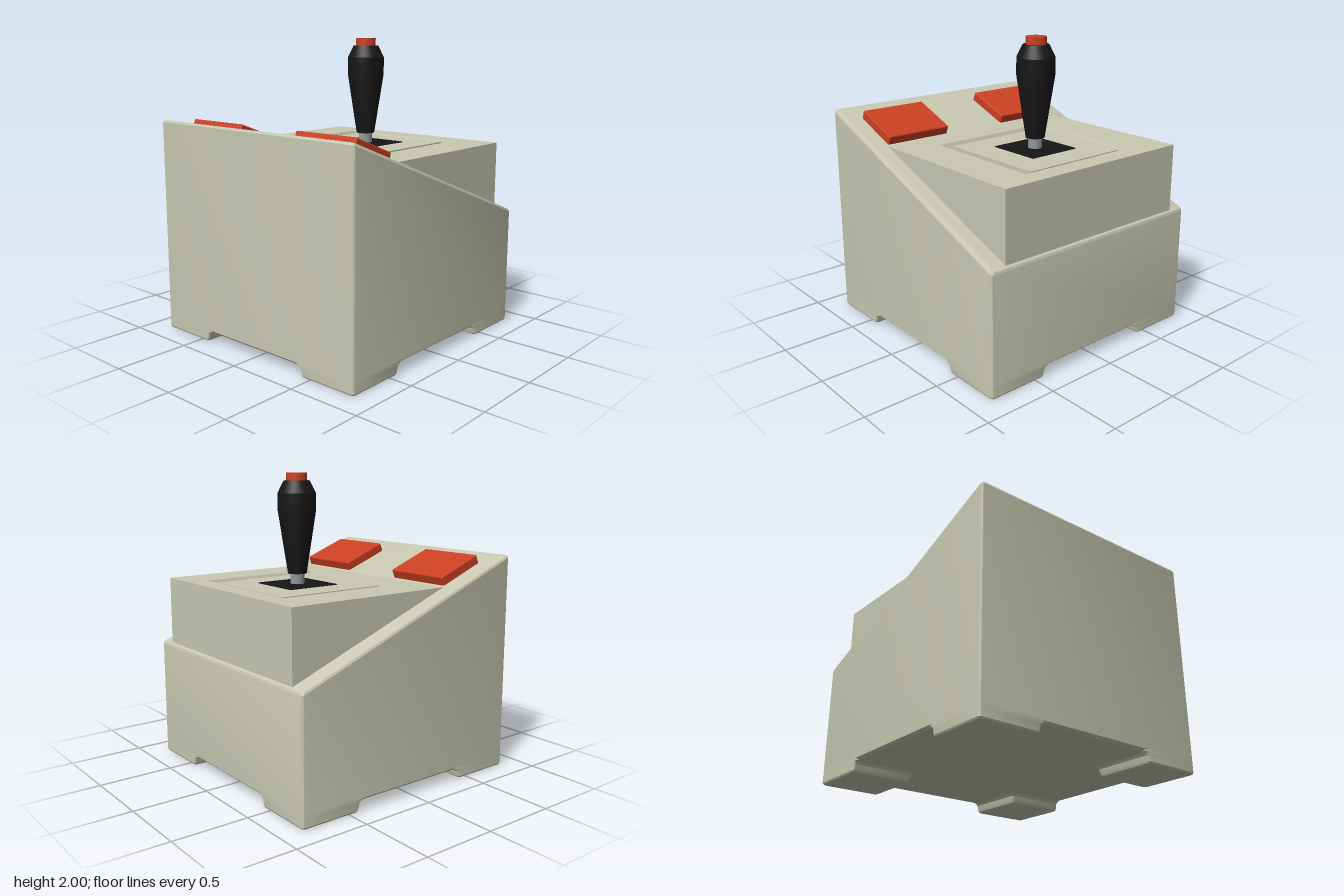
import * as THREE from 'three';
import { toCreasedNormals } from 'three/addons/utils/BufferGeometryUtils.js';
import { RoundedBoxGeometry } from 'three/addons/geometries/RoundedBoxGeometry.js';

const mat = (color) => new THREE.MeshStandardMaterial({ color });

// Height of the sloping top of the case at x
const SLOPE = 0.385;
const slopeY = (x) => 1.143 - SLOPE * x;

// Rectangle outline in the xz plane with rounded (or sharp) corners; y is a number or a function of x
function rectRing(x0, x1, z0, z1, y, r = 0) {
  const steps = r ? 3 : 0;
  const corners = [[x1 - r, z1 - r], [x0 + r, z1 - r], [x0 + r, z0 + r], [x1 - r, z0 + r]];
  const ring = [];
  corners.forEach(([cx, cz], q) => {
    for (let i = 0; i <= steps; i++) {
      const a = (q + (steps ? i / steps : 0)) * Math.PI / 2;
      const x = cx + r * Math.cos(a), z = cz + r * Math.sin(a);
      ring.push([x, typeof y === 'function' ? y(x) : y, z]);
    }
  });
  return ring;
}

// Skin a stack of rings from bottom to top and close both ends
function loft(rings) {
  const n = rings[0].length, pos = [], index = [];
  rings.forEach((ring) => ring.forEach((p) => pos.push(...p)));
  for (let k = 0; k < rings.length - 1; k++) {
    for (let j = 0; j < n; j++) {
      const a = k * n + j, b = k * n + (j + 1) % n, c = b + n, d = a + n;
      index.push(a, d, c, a, c, b);
    }
  }
  const last = (rings.length - 1) * n;
  for (let j = 1; j < n - 1; j++) {
    index.push(0, j, j + 1);
    index.push(last, last + j + 1, last + j);
  }
  const g = new THREE.BufferGeometry();
  g.setAttribute('position', new THREE.Float32BufferAttribute(pos, 3));
  g.setIndex(index);
  return toCreasedNormals(g, 0.4);
}

export function createModel() {
  const model = new THREE.Group();
  model.name = 'joystick';
  const shell = mat(0xc8c8b2), red = mat(0xcc4022), black = mat(0x161616), metal = mat(0x8f989c);

  const add = (name, geometry, material, x = 0, y = 0, z = 0) => {
    const mesh = new THREE.Mesh(geometry, material);
    mesh.name = name;
    mesh.position.set(x, y, z);
    model.add(mesh);
    return mesh;
  };

  // Wedge-shaped case with softened edges
  const H = 0.848;
  const square = (inset, y) => rectRing(-H + inset, H - inset, -H + inset, H - inset, y, 0.02);
  add('case', loft([
    square(0.015, 0.07),
    square(0, 0.085),
    square(0, (x) => slopeY(x) - 0.02),
    square(0.006, (x) => slopeY(x) - 0.006),
    square(0.02, slopeY),
  ]), shell);

  // Corner feet: [inner edge, outer edge, height]
  const footProfile = [
    [0.445, 0.833, 0], [0.435, 0.843, 0.005], [0.43, H, 0.015],
    [0.422, H, 0.05], [0.41, H, 0.066], [0.395, H, 0.07], [0.395, H, 0.085],
  ];
  for (const sx of [-1, 1]) {
    for (const sz of [-1, 1]) {
      const span = (s, i, o) => (s > 0 ? [i, o] : [-o, -i]);
      add('foot', loft(footProfile.map(([i, o, y]) =>
        rectRing(...span(sx, i, o), ...span(sz, i, o), y, 0.02))), shell);
    }
  }

  // Level platform with a square groove around the stick plate
  const SX = 0.27, TOP = 1.28;
  const outer = (y) => rectRing(-0.352, 0.83, -0.73, 0.73, y);
  add('platform', loft([
    outer(0.7),
    outer(TOP),
    rectRing(-0.169, 0.692, -0.454, 0.454, TOP),
    rectRing(-0.15, 0.675, -0.436, 0.436, 1.24),
    rectRing(-0.11, 0.656, -0.385, 0.385, 1.24),
    rectRing(-0.11, 0.656, -0.385, 0.385, 1.272),
  ]), shell);
  add('stickOpening', new THREE.BoxGeometry(0.375, 0.02, 0.375), black, SX, 1.267, 0);

  // Stick: shaft, grip and thumb button
  add('shaft', new THREE.CylinderGeometry(0.047, 0.047, 0.14, 32), metal, SX, 1.32, 0);
  const grip = [[0, 1.345], [0.062, 1.345], [0.125, 1.755], [0.125, 1.87], [0.085, 1.95], [0, 1.95]]
    .map(([r, y]) => new THREE.Vector2(r, y));
  add('grip', toCreasedNormals(new THREE.LatheGeometry(grip, 40), 0.3), black, SX);
  add('thumbButton', new THREE.CylinderGeometry(0.068, 0.068, 0.06, 32), red, SX, 1.97, 0);

  // Two slanted push buttons
  for (const s of [-1, 1]) {
    const button = add('pushButton', new RoundedBoxGeometry(0.345, 0.1, 0.478, 2, 0.01), red,
      -0.53, slopeY(-0.53) + 0.011, s * 0.48);
    button.rotation.z = -Math.atan(SLOPE);
  }

  return model;
}
